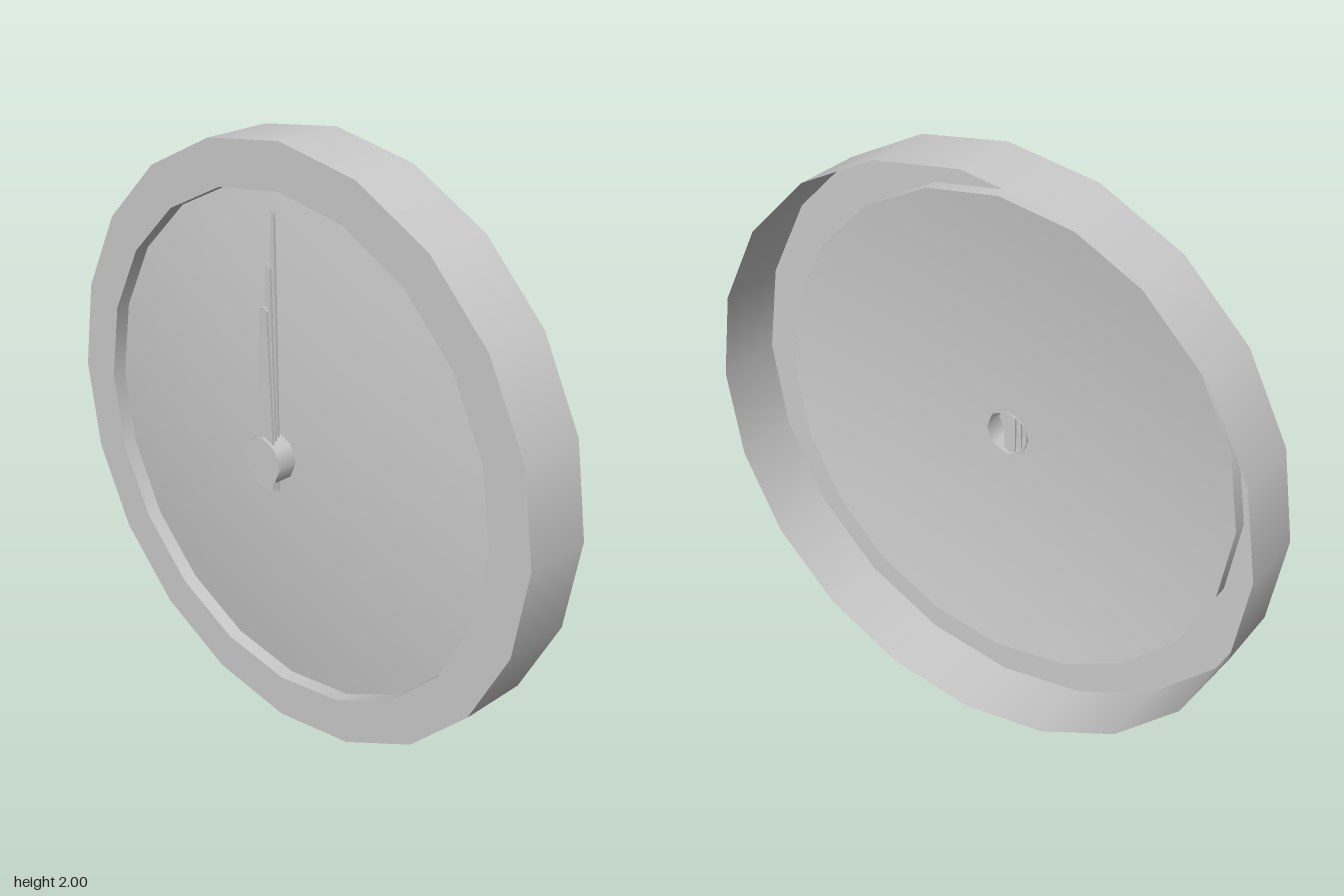
import * as THREE from 'three';

const SIDES = 20;
const material = new THREE.MeshStandardMaterial({ color: 0xcccccc, side: THREE.DoubleSide });

function part(name, geometry) {
  const mesh = new THREE.Mesh(geometry, material);
  mesh.name = name;
  return mesh;
}

// Open wall around the z axis between two depths
function wall(radius, z0, z1, sides) {
  return new THREE.CylinderGeometry(radius, radius, z1 - z0, sides, 1, true)
    .rotateX(Math.PI / 2).translate(0, 0, (z0 + z1) / 2);
}

// Flat tapering hand with a chamfered tip and a short tail
function hand(name, z, tip, tail, baseHalf, tipHalf) {
  const shape = new THREE.Shape([
    [-baseHalf, -tail], [baseHalf, -tail], [baseHalf, 0.05],
    [tipHalf, tip - 0.012], [tipHalf * 0.5, tip],
    [-tipHalf * 0.5, tip], [-tipHalf, tip - 0.012], [-baseHalf, 0.05],
  ].map(([x, y]) => new THREE.Vector2(x, y)));
  const depth = 0.008;
  const geometry = new THREE.ExtrudeGeometry(shape, { depth, bevelEnabled: false });
  return part(name, geometry.translate(0, 0, z - depth / 2));
}

export function createModel() {
  const clock = new THREE.Group();
  clock.name = 'wallClock';
  const body = new THREE.Group();
  body.name = 'clockBody';
  body.position.y = 1;
  clock.add(body);

  // Rim: outer wall open at the back, front band and short inner lip
  const rim = new THREE.Group();
  rim.name = 'rim';
  rim.add(
    part('rimOuterWall', wall(1, -0.157, 0.08, SIDES)),
    part('rimFront', new THREE.RingGeometry(0.85, 1, SIDES, 1).translate(0, 0, 0.08)),
    part('rimInnerLip', wall(0.85, 0.03, 0.08, SIDES)),
  );
  body.add(rim);

  // Gently domed dial with a hole behind the hub
  const profile = [];
  for (let i = 0; i <= 8; i++) {
    const r = 0.85 + (0.076 - 0.85) * (i / 8);
    profile.push(new THREE.Vector2(r, 0.09 - 0.083 * r * r));
  }
  body.add(part('dial', new THREE.LatheGeometry(profile, SIDES).rotateX(Math.PI / 2)));

  // Octagonal hub, hollow from behind
  const hub = new THREE.Group();
  hub.name = 'hub';
  hub.add(
    part('hubWall', wall(0.08, 0.085, 0.157, 8)),
    part('hubCap', new THREE.CircleGeometry(0.08, 8).translate(0, 0, 0.157)),
  );
  body.add(hub);

  // Three stacked hands pointing straight up
  body.add(
    hand('secondHand', 0.104, 0.8, 0.115, 0.02, 0.006),
    hand('minuteHand', 0.124, 0.64, 0.105, 0.03, 0.009),
    hand('hourHand', 0.143, 0.51, 0.095, 0.038, 0.014),
  );
  return clock;
}
